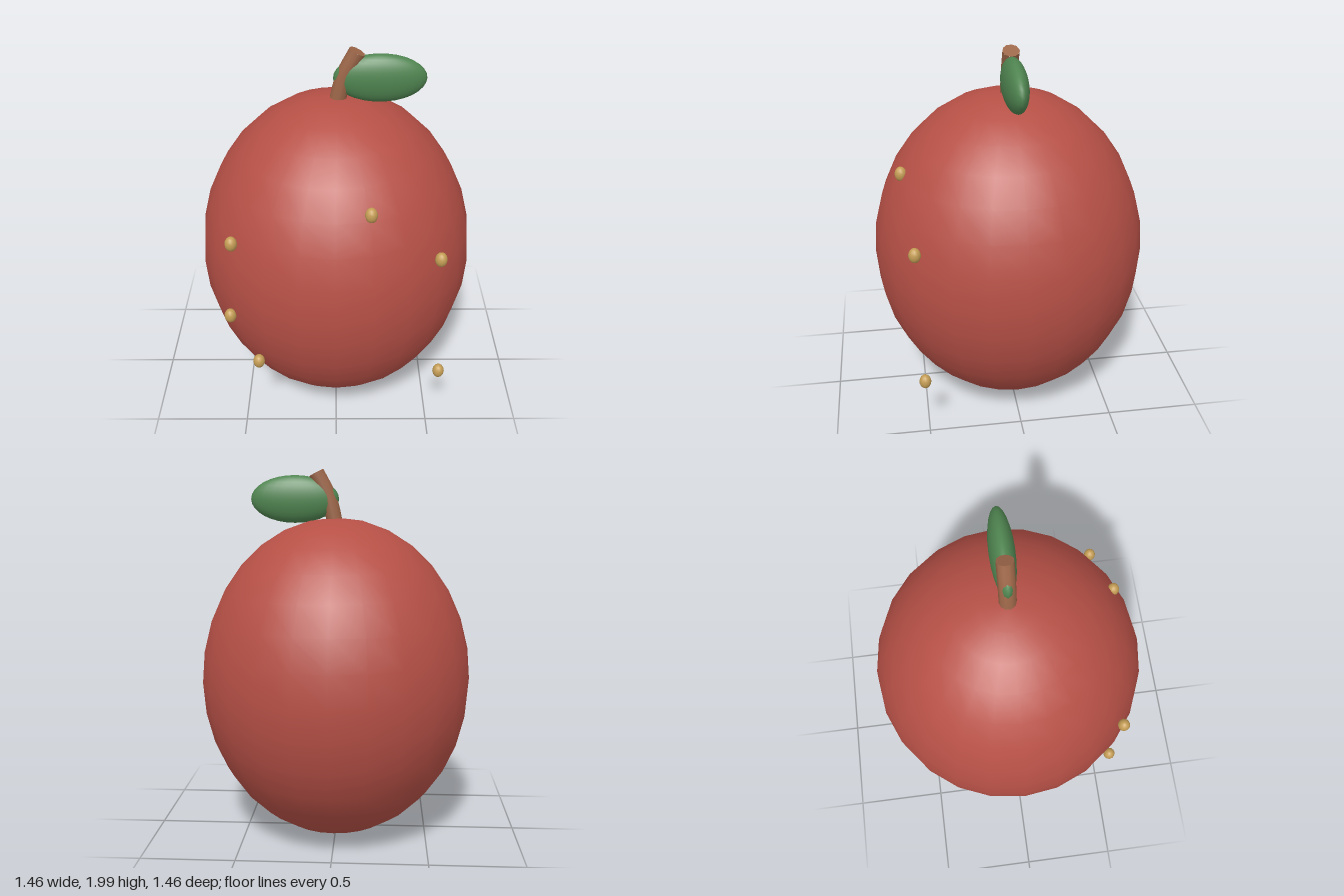
import * as THREE from 'three';

const mat = (name, color) => {
  const m = new THREE.MeshStandardMaterial({ color });
  m.name = name;
  return m;
};

// Sphere stretched to the given radii
function ellipsoid(name, material, [x, y, z], [rx, ry, rz], w, h) {
  const geometry = new THREE.SphereGeometry(1, w, h).scale(rx, ry, rz);
  const mesh = new THREE.Mesh(geometry, material);
  mesh.name = name;
  mesh.position.set(x, y, z);
  return mesh;
}

export function createModel() {
  const red = mat('fruit red', 0xb65046);
  const brown = mat('stem brown', 0x9c6648);
  const green = mat('leaf green', 0x4f8450);
  const gold = mat('seed gold', 0xc49d55);
  const model = new THREE.Group();
  model.name = 'fruit';

  model.add(ellipsoid('body', red, [0, 0.873, 0], [0.73, 0.87, 0.73], 24, 16));
  model.add(ellipsoid('leaf', green, [0.22, 1.84, 0], [0.235, 0.125, 0.063], 24, 16));

  // Gently bent stem with a flat cut end
  const stem = new THREE.Group();
  stem.name = 'stem';
  const end = new THREE.Vector3(0.105, 1.978, 0);
  const path = new THREE.CatmullRomCurve3([
    new THREE.Vector3(0.005, 1.71, 0), new THREE.Vector3(0.04, 1.85, 0), end,
  ]);
  const shaft = new THREE.Mesh(new THREE.TubeGeometry(path, 8, 0.043, 10), brown);
  shaft.name = 'stemShaft';
  const cap = new THREE.Mesh(new THREE.CircleGeometry(0.043, 10), brown);
  cap.name = 'stemCutEnd';
  cap.position.copy(end);
  cap.quaternion.setFromUnitVectors(new THREE.Vector3(0, 0, 1), path.getTangent(1));
  stem.add(shaft, cap);
  model.add(stem);

  // Seeds scattered over the front
  const seeds = new THREE.Group();
  seeds.name = 'seeds';
  [
    [0.165, 1.385, 0.57], [-0.51, 1.2, 0.53], [0.515, 1.107, 0.53],
    [-0.545, 0.74, 0.5], [-0.408, 0.465, 0.537], [0.548, 0.375, 0.513],
  ].forEach((p, i) => seeds.add(ellipsoid(`seed${i + 1}`, gold, p, [0.031, 0.039, 0.031], 12, 10)));
  model.add(seeds);

  return model;
}
